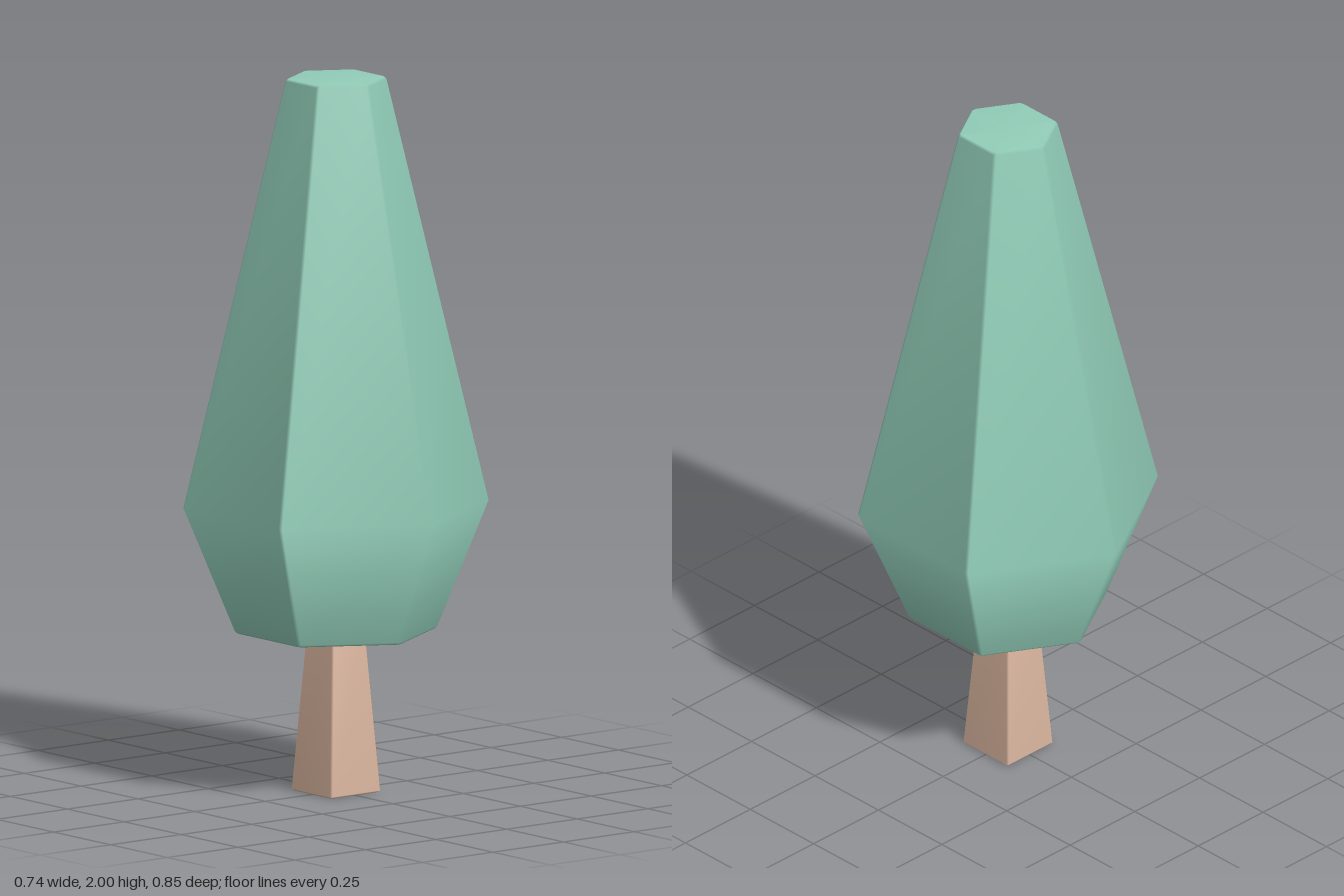
import * as THREE from 'three';

// Corner points of a regular polygon, each corner cut by a small chamfer
function chamferedPolygon(sides, startAngle, radius, chamfer) {
  const corner = (k) => {
    const a = startAngle + (k * Math.PI * 2) / sides;
    return new THREE.Vector2(Math.sin(a) * radius, Math.cos(a) * radius);
  };
  const points = [];
  for (let k = 0; k < sides; k++) {
    const c = corner(k);
    for (const n of [k - 1, k + 1]) {
      const dir = corner(n).sub(c).normalize();
      points.push(c.clone().addScaledVector(dir, chamfer));
    }
  }
  return points;
}

// Closed solid through polygon rings [y, radius], bottom to top; shared
// vertices give area-weighted normals: flat sides with softened edges
function ringSolid(sides, startAngle, rings, chamfer) {
  const positions = [];
  const index = [];
  const n = sides * 2;
  for (const [y, r] of rings) {
    for (const p of chamferedPolygon(sides, startAngle, r, chamfer)) positions.push(p.x, y, p.y);
  }
  const last = (rings.length - 1) * n;
  const bottom = rings.length * n;
  const top = bottom + 1;
  positions.push(0, rings[0][0], 0, 0, rings[rings.length - 1][0], 0);

  for (let j = 0; j < n; j++) {
    const k = (j + 1) % n;
    for (let i = 0; i < last; i += n) {
      index.push(i + j, i + k, i + n + k, i + j, i + n + k, i + n + j);
    }
    index.push(bottom, k, j, top, last + j, last + k);
  }
  const geometry = new THREE.BufferGeometry();
  geometry.setAttribute('position', new THREE.Float32BufferAttribute(positions, 3));
  geometry.setIndex(index);
  geometry.computeVertexNormals();
  return geometry;
}

function addPart(group, name, geometry, color) {
  const mesh = new THREE.Mesh(geometry, new THREE.MeshStandardMaterial({ color }));
  mesh.name = name;
  group.add(mesh);
}

export function createModel() {
  const tree = new THREE.Group();
  tree.name = 'tree';

  // Tapered square trunk, its top just inside the foliage
  const d = Math.SQRT2;
  addPart(tree, 'trunk', ringSolid(4, Math.PI / 4, [
    [0, 0.084 * d], [0.005, 0.089 * d], [0.46, 0.058 * d],
  ], 0.005), 0xd9b59e);

  // Six-sided foliage, widest low down, with a flat cut top
  addPart(tree, 'foliage', ringSolid(6, 0, [
    [0.45, 0.278], [0.456, 0.285], [0.805, 0.428], [1.994, 0.143], [2, 0.136],
  ], 0.006), 0x92ceb9);

  return tree;
}
